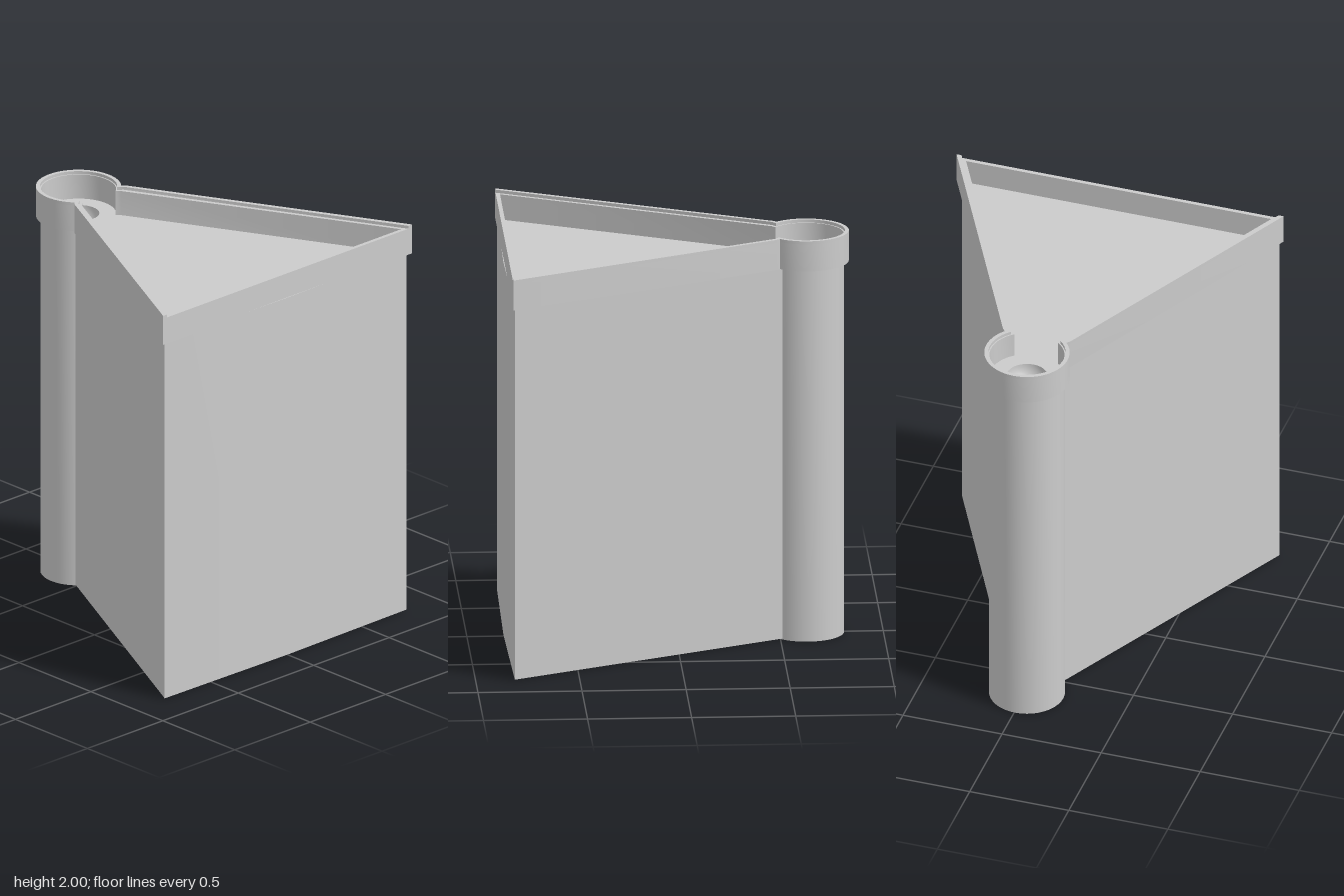
import * as THREE from 'three';
import { toCreasedNormals } from 'three/addons/utils/BufferGeometryUtils.js';

const HUB_X = -0.63, HUB_Z = 0.005, FLOOR = 1.86;

export function createModel() {
  const group = new THREE.Group();
  const grey = new THREE.MeshStandardMaterial({ color: 0xcccccc });

  const add = (name, geometry) => {
    const mesh = new THREE.Mesh(geometry, grey);
    mesh.name = name;
    group.add(mesh);
    return mesh;
  };

  // Extrude a plan drawn in (x, z) between two heights
  const slab = (points, y0, y1, hole) => {
    const shape = new THREE.Shape(points);
    if (hole) shape.holes.push(new THREE.Path(hole));
    const geometry = new THREE.ExtrudeGeometry(shape, { depth: y1 - y0, bevelEnabled: false });
    geometry.rotateX(Math.PI / 2).translate(0, y1, 0);
    return toCreasedNormals(geometry, 0.5);
  };

  // Keyhole outline: half wedge, arc round the hub, mirrored half wedge
  const keyhole = (cornerX, cornerZ, neckX, neckZ, radius, startAngle) => {
    const points = [new THREE.Vector2(cornerX, cornerZ), new THREE.Vector2(neckX, neckZ)];
    const steps = 36;
    for (let i = 0; i <= steps; i++) {
      const a = startAngle + (i / steps) * (2 * Math.PI - 2 * startAngle);
      points.push(new THREE.Vector2(HUB_X + radius * Math.cos(a), radius * Math.sin(a)));
    }
    points.push(new THREE.Vector2(neckX, -neckZ), new THREE.Vector2(cornerX, -cornerZ));
    return points.map((p) => p.setY(p.y + HUB_Z * (1 - Math.max(0, p.x))));
  };

  // Wedge-shaped body, its broad face very slightly ridged down the middle
  const wedge = [[-0.52, 0.135], [0.812, 0.808], [0.824, 0.005], [0.812, -0.795], [-0.52, -0.125]];
  add('wedgeBody', slab(wedge.map(([x, z]) => new THREE.Vector2(x, z)), 0.004, FLOOR));

  // Round column with a bowl sunk into its top
  const profile = [[0, 0], [0.183, 0], [0.183, FLOOR], [0.1, FLOOR]].map(([r, y]) => new THREE.Vector2(r, y));
  for (let i = 1; i <= 12; i++) {
    const a = (i / 12) * Math.PI / 2;
    profile.push(new THREE.Vector2(i === 12 ? 0 : 0.1 * Math.cos(a), FLOOR - 0.1 * Math.sin(a)));
  }
  const column = toCreasedNormals(new THREE.LatheGeometry(profile, 40), 0.6);
  add('column', column).position.set(HUB_X, 0, HUB_Z);

  // Raised rim running round the whole keyhole
  const outer = keyhole(0.82, 0.825, -0.48, 0.17, 0.205, 0.86);
  const inner = keyhole(0.8, 0.77, -0.47, 0.13, 0.18, 0.66);
  add('rim', slab(outer, 1.85, 1.985, inner));

  // Thin upper lip, open along the broad side
  const lipInner = keyhole(0.82, 0.8, -0.475, 0.15, 0.186, 0.74);
  add('rimLip', slab([...outer, ...lipInner.reverse()], 1.985, 2));

  return group;
}
